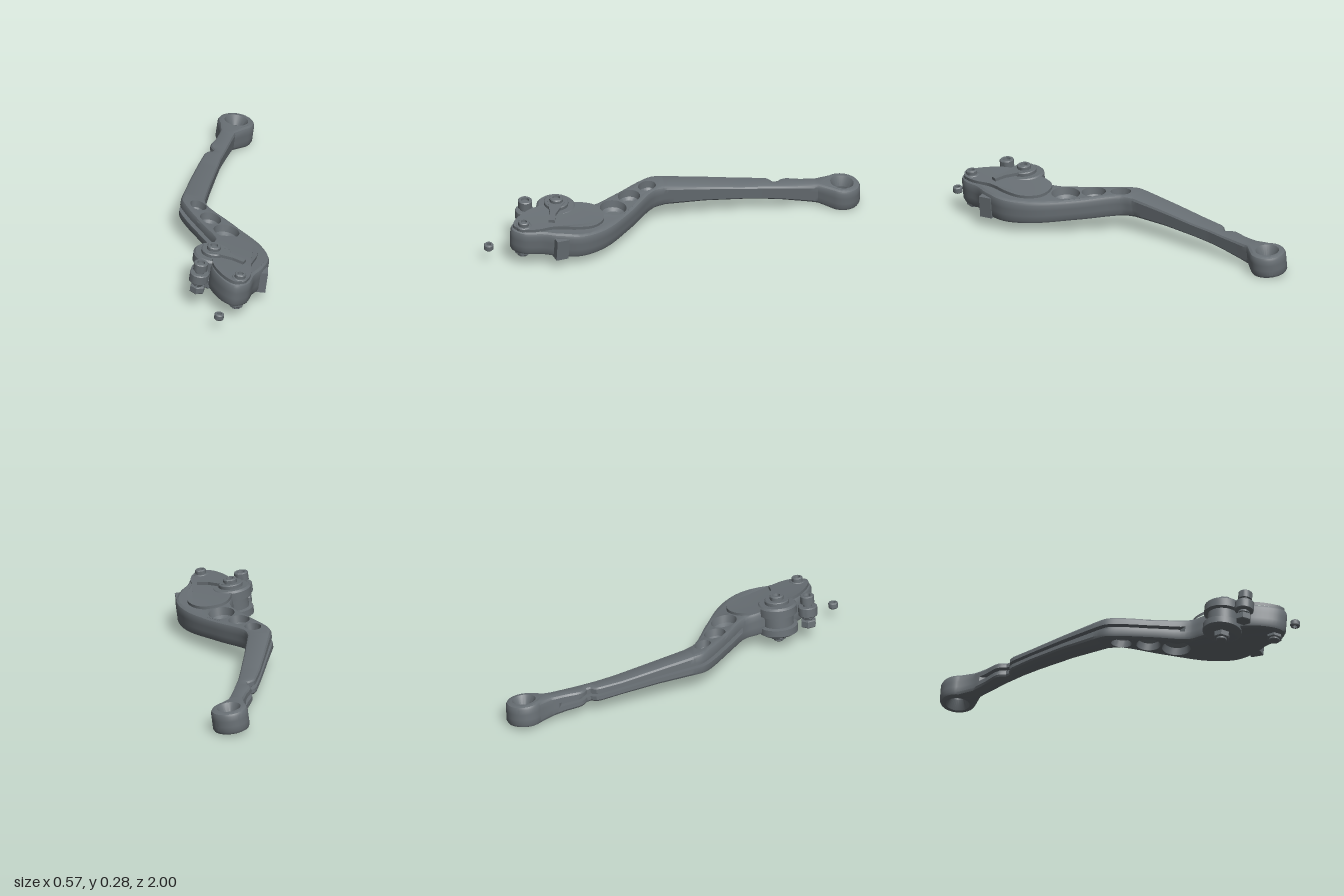
import * as THREE from 'three';
import { toCreasedNormals, mergeGeometries } from 'three/addons/utils/BufferGeometryUtils.js';

const TILT = 0.13; // the whole lever leans sideways by this slope

// Linear interpolation in a table of [key, value, ...] rows
function lookup(table, key, col = 1) {
  if (key <= table[0][0]) return table[0][col];
  for (let i = 1; i < table.length; i++) {
    const a = table[i - 1], b = table[i];
    if (key <= b[0]) return a[col] + (b[col] - a[col]) * (key - a[0]) / (b[0] - a[0]);
  }
  return table[table.length - 1][col];
}

// Side profile: [z, bottom, top] measured on the plane x = 0
const SIDE = [[-0.98, -0.012, 0.102], [-0.83, -0.01, 0.114], [-0.75, 0.006, 0.112], [-0.6, 0.03, 0.115],
  [-0.4, 0.05, 0.127], [-0.2, 0.061, 0.15], [0, 0.062, 0.172], [0.1, 0.062, 0.18], [0.25, 0.072, 0.185],
  [0.4, 0.078, 0.2], [0.6, 0.084, 0.22], [0.87, 0.096, 0.226]];

// Plan position and relative height t (0 bottom, 1 top) to space
function place(x, z, t) {
  const b = lookup(SIDE, z, 1), h = lookup(SIDE, z, 2) - b;
  return [x + TILT * (t - 0.5) * h, b + h * t - TILT * x, z];
}

// Triangles from 3D points and index triples
function geo(points, index) {
  const g = new THREE.BufferGeometry();
  g.setAttribute('position', new THREE.Float32BufferAttribute(points.flat(), 3));
  g.setIndex(index);
  return g.toNonIndexed();
}

// Wall through rows of equally long closed loops, listed upward
function wall(rows) {
  const n = rows[0].length, idx = [];
  for (let j = 0; j + 1 < rows.length; j++) for (let i = 0; i < n; i++) {
    const a = j * n + i, b = j * n + (i + 1) % n;
    idx.push(a, b, b + n, a, b + n, a + n);
  }
  return geo(rows.flat(), idx);
}

// Flat cover of a plan outline with holes, facing up or down
function cap(outline, holes, t, up) {
  const v = (p) => new THREE.Vector2(p[0], -p[1]);
  const c = outline.map(v), hs = holes.map((h) => h.map(v));
  const all = [...outline, ...holes.flat()];
  const idx = THREE.ShapeUtils.triangulateShape(c, hs).flatMap((f) => {
    const [a, b, d] = f.map((k) => all[k]);
    const ccw = (b[0] - a[0]) * -(d[1] - a[1]) + (b[1] - a[1]) * (d[0] - a[0]) > 0;
    return ccw === up ? f : [f[0], f[2], f[1]];
  });
  return geo(all.map((p) => place(p[0], p[1], t)), idx);
}

// Move a plan loop inwards by a distance per point
function inset(loop, amount) {
  const n = loop.length;
  return loop.map((p, i) => {
    const a = loop[(i + n - 1) % n], b = loop[(i + 1) % n];
    const dx = b[0] - a[0], dz = b[1] - a[1], l = Math.hypot(dx, dz) || 1, d = amount(i);
    return [p[0] + dz / l * d, p[1] - dx / l * d];
  });
}

// Clockwise ellipse in plan, its long axis along the bent part of the arm
function ellipse(x, z, along, across, n = 28) {
  const c = 0.81, s = 0.58;
  return Array.from({ length: n }, (_, i) => {
    const a = i / n * Math.PI * 2, u = Math.cos(a) * along, w = Math.sin(a) * across;
    return [x + u * s + w * c, z + u * c - w * s];
  }).reverse();
}

const lift = (loop, t) => loop.map((p) => place(p[0], p[1], t));

function smooth(points, n, closed) {
  return new THREE.CatmullRomCurve3(points.map((p) => new THREE.Vector3(p[0], 0, p[1])), closed, 'centripetal')
    .getPoints(n).map((p) => [p.x, p.z]);
}

function leverGeometry() {
  const left = [[-0.78, -0.226], [-0.7, -0.232], [-0.63, -0.247], [-0.605, -0.243], [-0.585, -0.222], [-0.56, -0.222],
    [-0.535, -0.256], [-0.4, -0.266], [-0.235, -0.272], [0, -0.278]];
  const right = [[-0.78, -0.147], [-0.72, -0.152], [-0.5, -0.167], [-0.2, -0.165], [0, -0.16]];
  const cx = -0.167, cz = -0.907, N = 40;
  const ring = [], zs = Array.from({ length: N }, (_, i) => -0.78 + i * 0.02);
  for (let i = 0; i <= 32; i++) {
    const a = (-35 + 250 * i / 32) * Math.PI / 180;
    ring.push([cx + 0.093 * Math.cos(a), cz - 0.093 * Math.sin(a)]);
  }
  const head = smooth([[-0.278, 0], [-0.275, 0.06], [-0.235, 0.135], [-0.13, 0.28], [-0.035, 0.415], [-0.03, 0.5],
    [-0.01, 0.66], [0.005, 0.74], [0.1, 0.855], [0.16, 0.872], [0.212, 0.82], [0.225, 0.72], [0.25, 0.645],
    [0.262, 0.52], [0.2, 0.385], [0.03, 0.215], [-0.135, 0.07], [-0.16, 0.005]], 102, false).slice(1);
  const R = ring.length, H = head.length;
  const loop = [...ring, ...zs.map((z) => [lookup(left, z), z]), ...head,
    ...[...zs].reverse().map((z) => [lookup(right, z), z])];
  // the groove runs along the outer edge from near the tip to the head
  const groove = (i) => (i > R + 2 && i < R + N + H / 3 && loop[i][1] < 0.38 ? 0.024 : 0);
  const flat = (d) => inset(loop, () => d), cut = inset(loop, groove), edge = flat(0.018);
  const parts = [wall([lift(edge, 0), lift(flat(0.006), 0.05), lift(loop, 0.15), lift(loop, 0.38), lift(cut, 0.4),
    lift(cut, 0.6), lift(loop, 0.62), lift(loop, 0.85), lift(flat(0.006), 0.95), lift(edge, 1)])];

  // eye in the tip, countersunk on both sides
  const eye = (r) => ellipse(cx, cz, r, r);
  parts.push(wall([lift(eye(0.06), 0), lift(eye(0.035), 0.4), lift(eye(0.035), 0.6), lift(eye(0.06), 1)]));

  // three scooped pockets above and below a web
  const pockets = [[-0.18, 0.1, 0.053, 0.038], [-0.097, 0.21, 0.062, 0.052], [0.003, 0.312, 0.073, 0.064]];
  const mouths = pockets.map((p) => ellipse(...p));
  pockets.forEach(([x, z, a, b], k) => {
    const mid = ellipse(x, z, a * 0.88, b * 0.88), floor = ellipse(x, z, a * 0.6, b * 0.6);
    parts.push(wall([lift(floor, 0.57), lift(mid, 0.68), lift(mouths[k], 1)]), cap(floor, [], 0.57, true));
    parts.push(wall([lift(mouths[k], 0), lift(mid, 0.32), lift(floor, 0.43)]), cap(floor, [], 0.43, false));
  });

  // top and bottom skins: tip, arm strip and head
  const L = edge.slice(R, R + N), Q = edge.slice(R + N + H).reverse();
  const tip = [...edge.slice(0, R), L[0], Q[0]];
  const hub = [L[N - 1], ...edge.slice(R + N, R + N + H), Q[N - 1]];
  for (const t of [0, 1]) {
    parts.push(cap(tip, [eye(0.06)], t, t === 1), cap(hub, mouths, t, t === 1));
    for (let i = 0; i + 1 < N; i++) parts.push(cap([L[i], L[i + 1], Q[i + 1], Q[i]], [], t, t === 1));
  }
  return toCreasedNormals(mergeGeometries(parts), 0.5);
}

export function createModel() {
  const model = new THREE.Group();
  const metal = new THREE.MeshStandardMaterial({ color: 0x686f74 });
  metal.name = 'gunmetal';
  const add = (name, geometry, parent = model) => {
    const m = new THREE.Mesh(geometry, metal);
    m.name = name;
    parent.add(m);
    return m;
  };

  add('leverBody', leverGeometry());

  // raised cover plate on the head
  const plate = smooth([[0, 0.405], [-0.025, 0.46], [-0.02, 0.6], [0.012, 0.735], [0.105, 0.842], [0.155, 0.858],
    [0.198, 0.81], [0.205, 0.74], [0.19, 0.66], [0.2, 0.55], [0.185, 0.45], [0.13, 0.39], [0.07, 0.378]], 70, true).slice(0, -1);
  add('coverPlate', toCreasedNormals(mergeGeometries([
    wall([lift(plate, 0.98), lift(plate, 1.11)]), cap(plate, [], 1.11, true)]), 0.5));

  // tilted stack of turned pieces; heights measured on the plane x = 0
  const stack = (name, x, z, pieces) => {
    const g = new THREE.Group();
    g.name = name;
    g.position.set(x, 0.15 - TILT * x, z);
    g.rotation.z = -TILT;
    for (const [part, sides, profile] of pieces) {
      const pts = profile.map(([r, y]) => new THREE.Vector2(r, y - 0.15));
      add(part, toCreasedNormals(new THREE.LatheGeometry(pts, sides), 0.6), g);
    }
    model.add(g);
    return g;
  };
  const rod = (r, y0, y1, c = 0.004) => [[0, y0], [r - c, y0], [r, y0 + c], [r, y1 - c], [r - c, y1], [0, y1]];
  const socket = (r, y0, y1) => [[0, y0], [r, y0], [r, y1 - 0.004], [r - 0.004, y1], [r * 0.55, y1], [r * 0.5, y1 - 0.012], [0, y1 - 0.012]];

  // position selector: spool, washer, screw, nut and pointer
  const cam = stack('selector', -0.015, 0.605, [
    ['selectorSpool', 36, [[0, 0.07], [0.085, 0.07], [0.1, 0.08], [0.1, 0.115], [0.08, 0.12], [0.08, 0.175], [0.1, 0.18], [0.1, 0.222], [0.09, 0.232], [0, 0.232]]],
    ['selectorWasher', 28, rod(0.062, 0.225, 0.252)],
    ['selectorScrew', 24, socket(0.035, 0.25, 0.273)],
    ['selectorNut', 6, rod(0.042, 0.04, 0.075)],
    ['selectorNutCollar', 20, rod(0.027, 0.027, 0.045)]]);
  const arm = new THREE.Shape([[0, 0.045], [0.12, 0.012], [0.18, 0.016], [0.18, -0.016], [0.12, -0.016], [0, -0.045]]
    .map((p) => new THREE.Vector2(...p)));
  const pointer = add('selectorPointer', new THREE.ExtrudeGeometry(arm, { depth: 0.016, bevelEnabled: false }), cam);
  pointer.rotation.set(-Math.PI / 2, 0, -0.32);
  pointer.position.y = 0.088;

  // pivot screw through the nose of the head
  stack('pivot', 0.158, 0.808, [
    ['pivotWasher', 24, rod(0.04, 0.22, 0.243)],
    ['pivotScrew', 24, socket(0.028, 0.24, 0.264)],
    ['pivotNut', 6, rod(0.04, 0.076, 0.105)],
    ['pivotNutCollar', 20, rod(0.028, 0.064, 0.08)]]);

  // adjuster bolt beside the head
  stack('adjuster', -0.052, 0.758, [
    ['adjusterHead', 24, socket(0.036, 0.208, 0.25)],
    ['adjusterShank', 20, rod(0.024, 0.085, 0.215)],
    ['adjusterCollar', 28, rod(0.049, 0.14, 0.192)],
    ['adjusterSpacer', 20, rod(0.03, 0.122, 0.138)],
    ['adjusterNut', 6, rod(0.04, 0.08, 0.118)]]);

  // loose set screw with an open bore
  const bore = [[0.012, 0.073], [0.021, 0.073], [0.025, 0.078], [0.025, 0.1], [0.021, 0.105], [0.012, 0.105], [0.012, 0.073]];
  stack('setScrew', 0.1, 0.973, [['setScrewBody', 12, bore]]);

  // stop lug on the inner side of the head
  const lug = add('stopLug', new THREE.BoxGeometry(0.05, 0.112, 0.066));
  lug.position.set(0.249, 0.112, 0.63);
  lug.rotation.set(0, 0.2, -TILT);
  return model;
}
